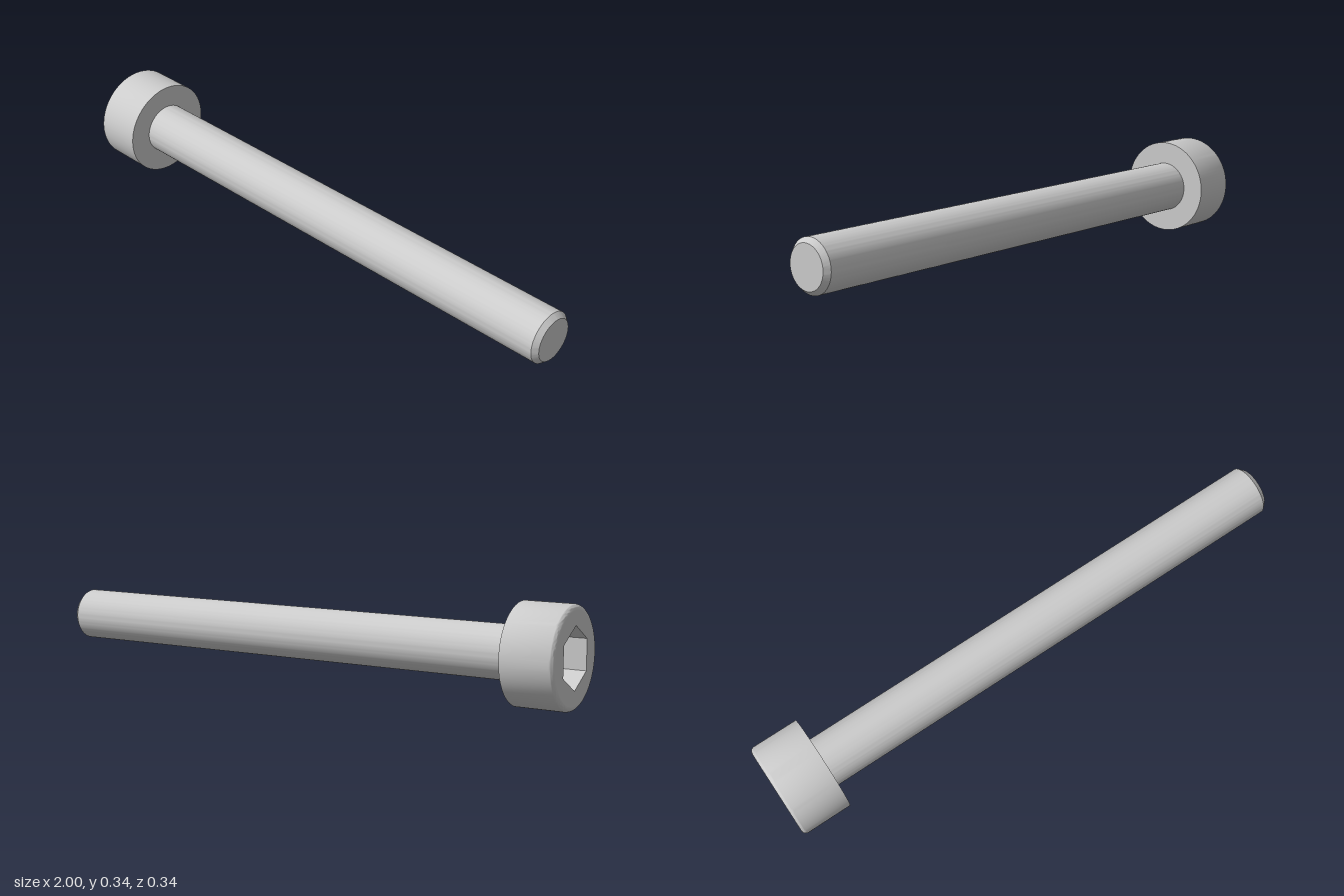
import * as THREE from 'three';
import { toCreasedNormals } from 'three/addons/utils/BufferGeometryUtils.js';

const SEGMENTS = 96;
const HEAD_R = 0.171, SHANK_R = 0.091, TIP_R = 0.075;
const HEAD_START = -1, HEAD_END = -0.818, TIP = 1;
const FILLET = 0.018, CHAMFER = 0.018;
const SOCKET_R = 0.104, SOCKET_DEPTH = 0.09;

// Turn a profile of [radius, x] pairs around the x axis.
function turned(profile, segments = SEGMENTS, phase = 0) {
  const points = profile.map(([r, x]) => new THREE.Vector2(r, x));
  const geometry = new THREE.LatheGeometry(points, segments, phase).rotateZ(-Math.PI / 2);
  return toCreasedNormals(geometry, 0.5);
}

export function createModel() {
  const bolt = new THREE.Group();
  bolt.name = 'socketHeadBolt';
  const material = new THREE.MeshStandardMaterial({ color: 0xcccccc });
  const add = (name, geometry) => {
    const mesh = new THREE.Mesh(geometry, material);
    mesh.name = name;
    mesh.position.y = HEAD_R;
    bolt.add(mesh);
  };

  // Head side: rounded outer rim, then the flat underside
  const headProfile = [];
  for (let i = 0; i <= 8; i++) {
    const a = (i / 8) * Math.PI / 2;
    headProfile.push([
      HEAD_R - FILLET + FILLET * Math.sin(a),
      HEAD_START + FILLET - FILLET * Math.cos(a),
    ]);
  }
  headProfile.push([HEAD_R, HEAD_END], [SHANK_R, HEAD_END]);
  add('head', turned(headProfile));

  // Head end face with a hexagonal opening
  const face = new THREE.Shape().absarc(0, 0, HEAD_R - FILLET, 0, Math.PI * 2);
  const corners = Array.from({ length: 6 }, (_, i) => {
    const a = Math.PI / 2 - i * Math.PI / 3;
    return new THREE.Vector2(SOCKET_R * Math.cos(a), SOCKET_R * Math.sin(a));
  });
  face.holes.push(new THREE.Path(corners));
  add('headFace', new THREE.ShapeGeometry(face, SEGMENTS / 2)
    .rotateY(-Math.PI / 2).translate(HEAD_START, 0, 0));

  // Hexagonal socket: floor and inward-facing walls
  const floorX = HEAD_START + SOCKET_DEPTH;
  add('hexSocket', turned(
    [[0, floorX], [SOCKET_R, floorX], [SOCKET_R, HEAD_START]], 6, Math.PI / 2));

  // Shank with chamfered tip
  add('shank', turned([
    [SHANK_R, HEAD_END], [SHANK_R, TIP - CHAMFER], [TIP_R, TIP], [0, TIP],
  ]));

  return bolt;
}
